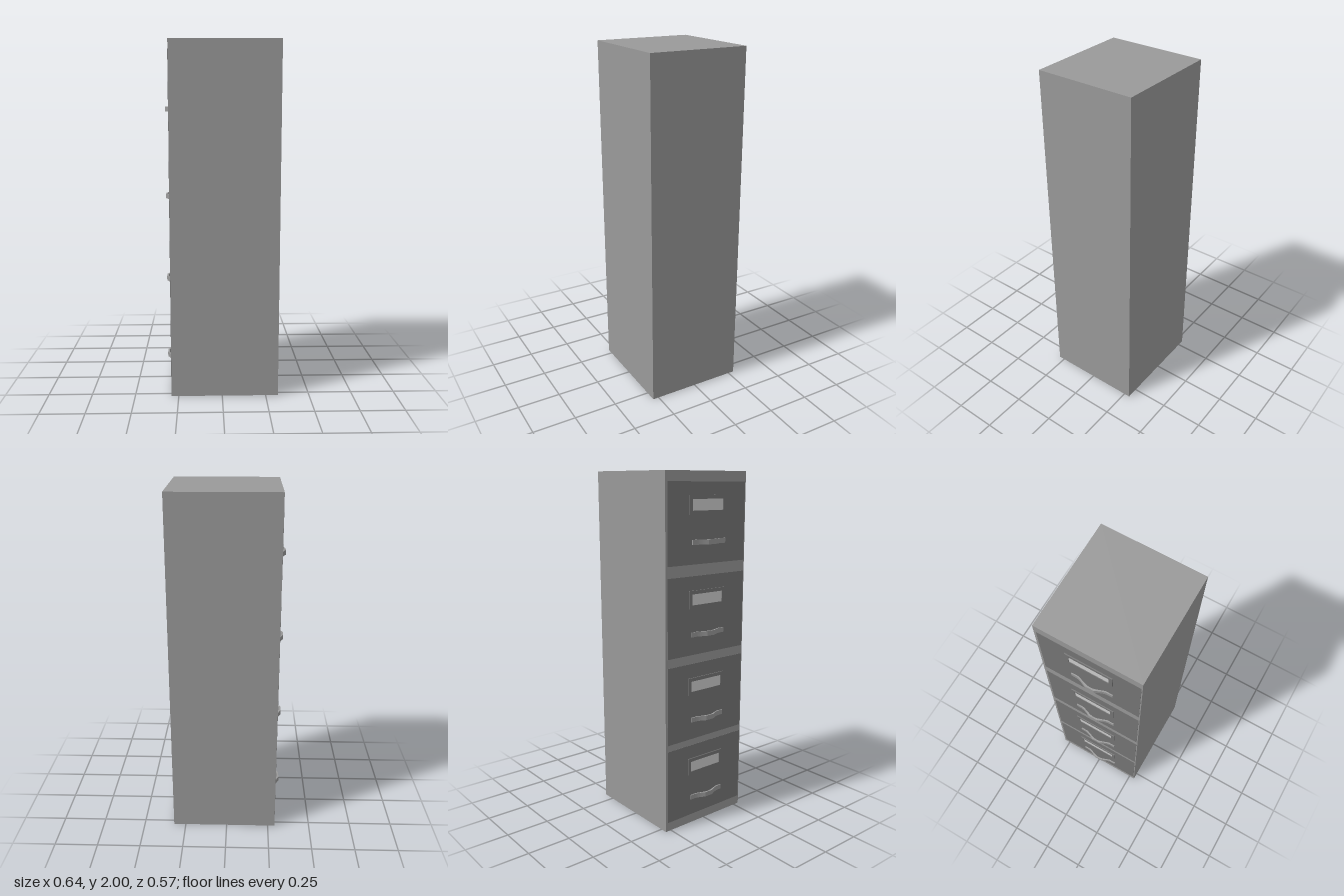
import * as THREE from 'three';

const bodyGrey = new THREE.MeshStandardMaterial({ name: 'bodyGrey', color: 0x999999 });
const drawerGrey = new THREE.MeshStandardMaterial({ name: 'drawerGrey', color: 0x767676 });
const cardGrey = new THREE.MeshStandardMaterial({ name: 'cardGrey', color: 0xcfcfcf });

const FACE = -0.291; // plane of the drawer side, facing -x

function mesh(name, geometry, material, x, y, z) {
  const m = new THREE.Mesh(geometry, material);
  m.name = name;
  m.position.set(x, y, z);
  return m;
}

// Rectangular card holder rim, extruded towards -x
function labelFrameGeometry(w, h, border, depth) {
  const rect = (P, a, b) => new P([
    new THREE.Vector2(-a, -b), new THREE.Vector2(a, -b),
    new THREE.Vector2(a, b), new THREE.Vector2(-a, b),
  ]);
  const shape = rect(THREE.Shape, w / 2, h / 2);
  shape.holes.push(rect(THREE.Path, w / 2 - border, h / 2 - border));
  return new THREE.ExtrudeGeometry(shape, { depth, bevelEnabled: false }).rotateY(-Math.PI / 2);
}

// Bowed pull with flat feet, drawn in plan (x out, z along) and extruded in height
function handleGeometry(height) {
  const s = new THREE.Shape();
  s.moveTo(0, -0.118);
  s.lineTo(-0.007, -0.118);
  s.lineTo(-0.008, -0.085);
  s.quadraticCurveTo(-0.012, -0.06, -0.031, -0.026);
  s.lineTo(-0.031, 0.026);
  s.quadraticCurveTo(-0.012, 0.06, -0.008, 0.085);
  s.lineTo(-0.007, 0.118);
  s.lineTo(0, 0.118);
  s.lineTo(0, 0.08);
  s.quadraticCurveTo(-0.006, 0.065, -0.016, 0.036);
  s.quadraticCurveTo(-0.03, 0, -0.016, -0.036);
  s.quadraticCurveTo(-0.006, -0.065, 0, -0.08);
  const g = new THREE.ExtrudeGeometry(s, { depth: height, bevelEnabled: false, curveSegments: 6 });
  return g.rotateX(Math.PI / 2).translate(0, height / 2, 0);
}

export function createModel() {
  const cabinet = new THREE.Group();
  cabinet.name = 'filingCabinet';

  const width = 0.321 - FACE;
  cabinet.add(mesh('body', new THREE.BoxGeometry(width, 2, 0.572), bodyGrey, FACE + width / 2, 1, 0));

  const frameGeo = labelFrameGeometry(0.258, 0.1, 0.02, 0.007);
  const cardGeo = new THREE.BoxGeometry(0.003, 0.06, 0.218);
  const handleGeo = handleGeometry(0.027);

  // bottom, top, label centre and handle height of each drawer
  const drawers = [
    [0.052, 0.483, 0.353, 0.161],
    [0.52, 0.963, 0.832, 0.635],
    [1.013, 1.45, 1.322, 1.128],
    [1.512, 1.945, 1.825, 1.63],
  ];
  drawers.forEach(([y0, y1, labelY, handleY]) => {
    const drawer = new THREE.Group();
    drawer.name = 'drawer';
    drawer.add(
      mesh('drawerPanel', new THREE.BoxGeometry(0.003, y1 - y0, 0.552), drawerGrey, FACE, (y0 + y1) / 2, 0.004),
      mesh('labelFrame', frameGeo, drawerGrey, FACE, labelY, 0.003),
      mesh('labelCard', cardGeo, cardGrey, FACE - 0.002, labelY, 0.003),
      mesh('handle', handleGeo, bodyGrey, FACE, handleY, 0.013),
    );
    cabinet.add(drawer);
  });
  return cabinet;
}
